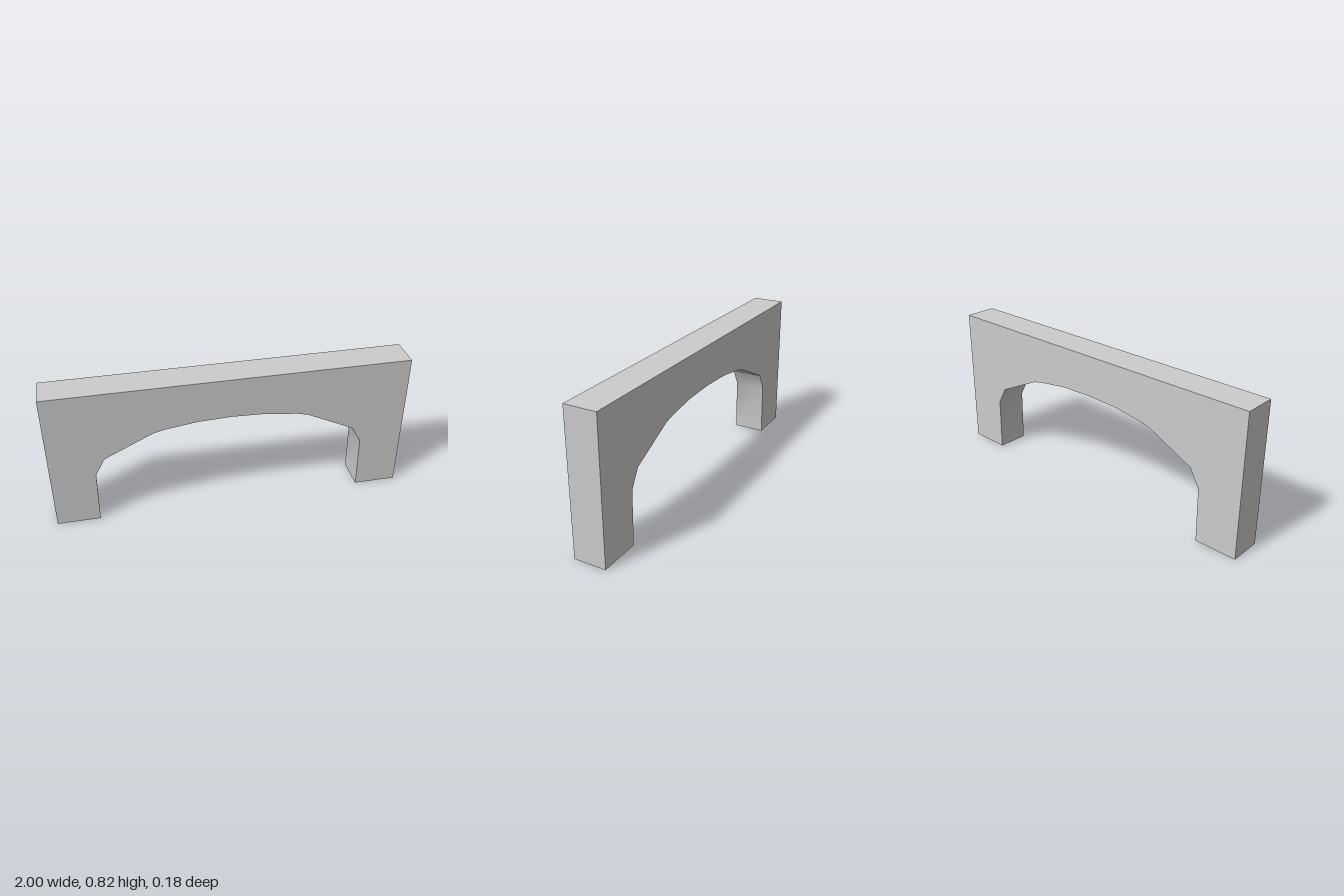
import * as THREE from 'three';
import { toCreasedNormals } from 'three/addons/utils/BufferGeometryUtils.js';

export function createModel() {
  const group = new THREE.Group();
  group.name = 'archway';
  const height = 0.818, depth = 0.184;

  // Half of the arch opening, from the foot of the pier to near the crown
  const half = [[0.76, 0], [0.755, 0.31], [0.7, 0.41], [0.43, 0.54], [0.37, 0.555], [0.19, 0.58]];
  const mirrored = half.map(([x, y]) => [-x, y]);
  const opening = [...mirrored, [0, 0.587], ...half.slice().reverse()];

  // Wall outline: outer rectangle with the arch cut from its base
  const outline = [[1, 0], [1, height], [-1, height], [-1, 0], ...opening];
  const shape = new THREE.Shape(outline.map(([x, y]) => new THREE.Vector2(x, y)));

  const solid = new THREE.ExtrudeGeometry(shape, { depth, bevelEnabled: false });
  solid.translate(0, 0, -depth / 2);

  // Soft shading along the curve, sharp at the haunches and wall edges
  const wall = new THREE.Mesh(
    toCreasedNormals(solid, THREE.MathUtils.degToRad(30)),
    new THREE.MeshStandardMaterial({ color: 0xcccccc })
  );
  wall.name = 'archWall';
  group.add(wall);
  return group;
}
